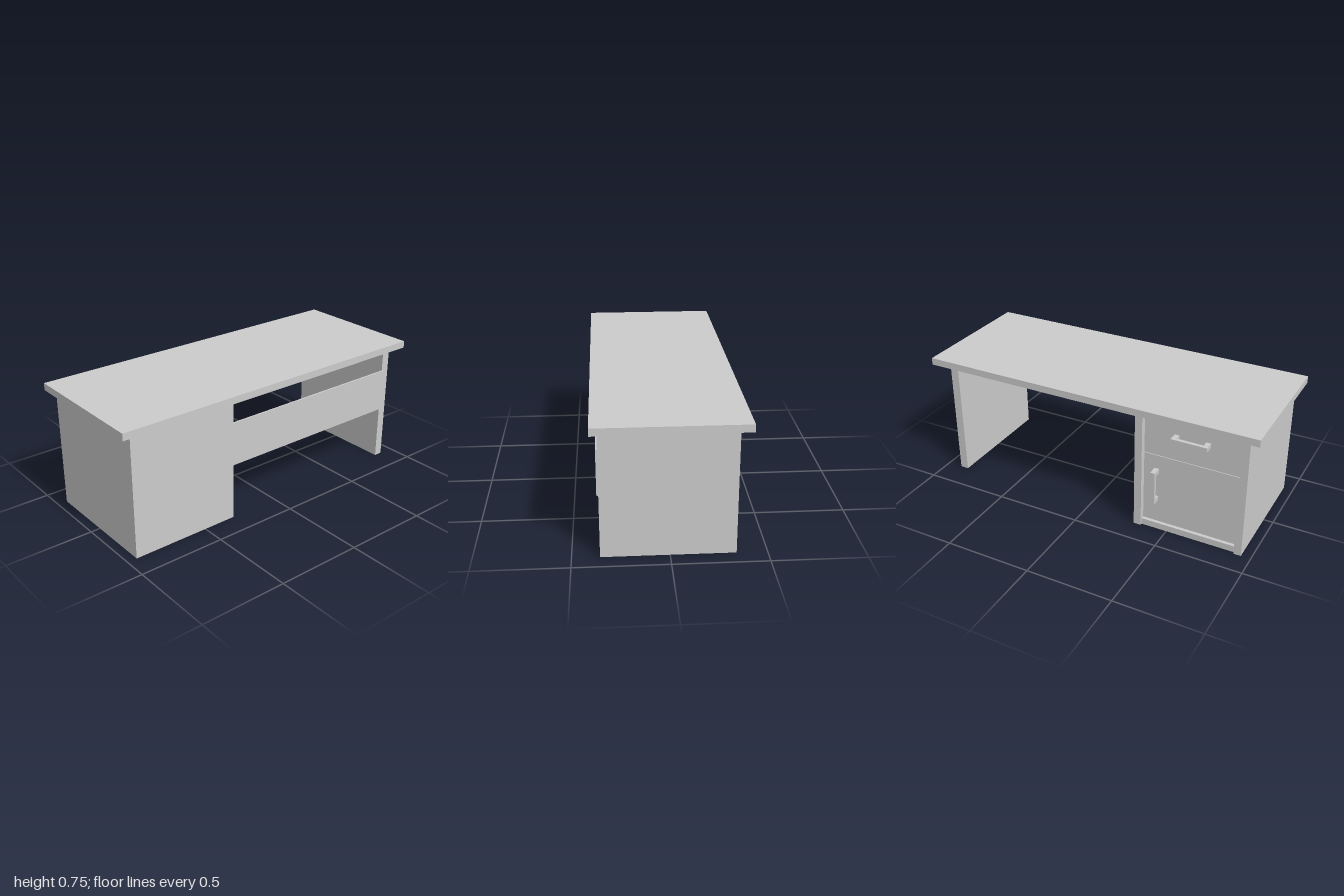
import * as THREE from 'three';

const material = new THREE.MeshStandardMaterial({ color: 0xcccccc, flatShading: true });

// Box given by its limits on each axis
function box(parent, name, x0, x1, y0, y1, z0, z1) {
  const mesh = new THREE.Mesh(new THREE.BoxGeometry(x1 - x0, y1 - y0, z1 - z0), material);
  mesh.position.set((x0 + x1) / 2, (y0 + y1) / 2, (z0 + z1) / 2);
  mesh.name = name;
  parent.add(mesh);
  return mesh;
}

// Bar handle along x: a grip on two posts reaching back to z = 0
function makeHandle(name) {
  const handle = new THREE.Group();
  handle.name = name;
  const half = 0.102, thick = 0.027, depth = 0.055;
  box(handle, 'grip', -half, half, -thick / 2, thick / 2, -depth, -depth + 0.02);
  for (const s of [-1, 1]) {
    const c = s * (half - 0.0135);
    box(handle, 'post', c - 0.0135, c + 0.0135, -thick / 2, thick / 2, -depth + 0.02, 0);
  }
  return handle;
}

export function createModel() {
  const desk = new THREE.Group();
  desk.name = 'desk';
  const topY = 0.705, doorZ = -0.335;

  box(desk, 'desktop', -1, 1, topY, 0.746, -0.392, 0.393);
  box(desk, 'leg', 0.86, 0.91, 0, topY, -0.34, 0.356);

  // Thin front sheet: cabinet front and modesty panel in one outline
  const outline = new THREE.Shape([
    [-0.945, 0], [-0.305, 0], [-0.305, 0.327], [0.868, 0.327],
    [0.868, 0.58], [-0.305, 0.58], [-0.305, topY], [-0.945, topY],
  ].map(([x, y]) => new THREE.Vector2(x, y)));
  const sheet = new THREE.Mesh(
    new THREE.ExtrudeGeometry(outline, { depth: 0.01, bevelEnabled: false }), material);
  sheet.position.z = 0.356;
  sheet.name = 'modestyPanel';
  desk.add(sheet);

  // Cabinet with drawer above door
  const cabinet = new THREE.Group();
  cabinet.name = 'cabinet';
  desk.add(cabinet);
  box(cabinet, 'rightSide', -0.945, -0.902, 0, topY, -0.368, 0.356);
  box(cabinet, 'leftSide', -0.348, -0.305, 0, topY, -0.368, 0.356);
  box(cabinet, 'innerBoard', -0.902, -0.348, 0, topY, 0.325, 0.356);
  box(cabinet, 'bottomPanel', -0.902, -0.348, 0, 0.038, -0.355, 0.295);
  box(cabinet, 'door', -0.902, -0.348, 0.038, 0.463, doorZ, doorZ + 0.03);
  box(cabinet, 'drawerFront', -0.902, -0.348, 0.466, topY, doorZ, doorZ + 0.03);

  const drawerHandle = makeHandle('drawerHandle');
  drawerHandle.position.set(-0.623, 0.6075, doorZ);
  const doorHandle = makeHandle('doorHandle');
  doorHandle.rotation.z = Math.PI / 2;
  doorHandle.position.set(-0.424, 0.279, doorZ);
  cabinet.add(drawerHandle, doorHandle);

  return desk;
}
